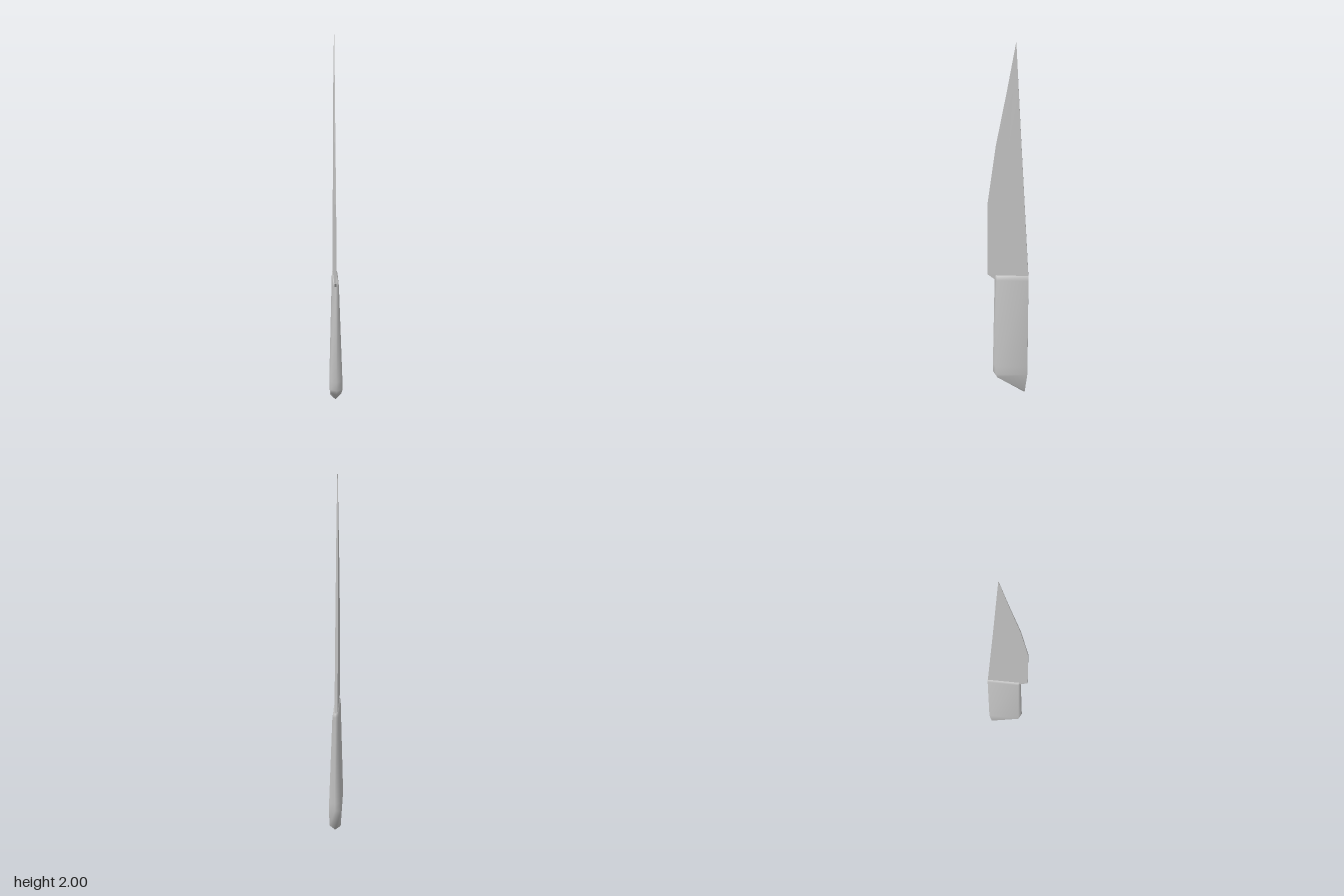
import * as THREE from 'three';

// Skins a stack of six-point rings from bottom to top and closes both ends
function loft(rings) {
  const n = rings[0].length;
  const index = [];
  for (let r = 0; r < rings.length - 1; r++) {
    for (let i = 0; i < n; i++) {
      const a = r * n + i, b = r * n + (i + 1) % n;
      index.push(a, a + n, b, b, a + n, b + n);
    }
  }
  const top = (rings.length - 1) * n;
  for (const [a, b, c] of [[0, 1, 2], [0, 2, 3], [0, 3, 4], [0, 4, 5]]) {
    index.push(a, b, c, top + a, top + c, top + b);
  }
  const geometry = new THREE.BufferGeometry();
  geometry.setAttribute('position', new THREE.Float32BufferAttribute(rings.flat(2), 3));
  geometry.setIndex(index);
  geometry.computeVertexNormals();
  return geometry;
}

// Handle section: flat back, flat sides and a shallow pointed front
function handleRing(y, halfWidth, back, side, front, cx = 0) {
  return [
    [cx, y, back], [cx + halfWidth, y, back], [cx + halfWidth, y, side],
    [cx, y, front], [cx - halfWidth, y, side], [cx - halfWidth, y, back],
  ];
}

// Blade section: thick spine narrowing to the cutting edge
function bladeRing(y, back, front, spine, edge, cx, frontY = y) {
  const mid = (back + front) / 2, half = (spine + edge) / 2;
  const midY = (y + frontY) / 2;
  return [
    [cx + spine, y, back], [cx + half, midY, mid], [cx + edge, frontY, front],
    [cx - edge, frontY, front], [cx - half, midY, mid], [cx - spine, y, back],
  ];
}

export function createModel() {
  const group = new THREE.Group();

  // Handle, with an obliquely cut, keeled butt
  const butt = [
    [0, 0, -0.093], [0.031, 0.03, -0.097], [0.027, 0.115, 0.058],
    [0, 0.108, 0.066], [-0.027, 0.115, 0.058], [-0.031, 0.03, -0.097],
  ];
  const handle = new THREE.Mesh(
    loft([
      butt,
      handleRing(0.14, 0.033, -0.11, 0.066, 0.084),
      handleRing(0.19, 0.032, -0.11, 0.066, 0.083),
      handleRing(0.73, 0.016, -0.11, 0.058, 0.07, -0.003),
      handleRing(0.755, 0.013, -0.11, 0.056, 0.066, -0.004),
    ]),
    new THREE.MeshStandardMaterial({ color: 0xcccccc }),
  );
  handle.name = 'handle';
  group.add(handle);

  // Blade, with a straight sloping spine and a curved edge
  const blade = new THREE.Mesh(
    loft([
      bladeRing(0.73, -0.108, 0.07, 0.008, 0.005, -0.006),
      bladeRing(0.752, -0.109, 0.108, 0.008, 0.005, -0.006, 0.76),
      bladeRing(1.18, -0.085, 0.102, 0.007, 0.004, -0.007),
      bladeRing(1.48, -0.068, 0.06, 0.006, 0.003, -0.008),
      bladeRing(1.76, -0.053, 0.005, 0.004, 0.002, -0.008),
      bladeRing(2, -0.04, -0.039, 0.001, 0.001, -0.008),
    ]),
    new THREE.MeshStandardMaterial({ color: 0xcccccc, flatShading: true }),
  );
  blade.name = 'blade';
  group.add(blade);

  return group;
}
